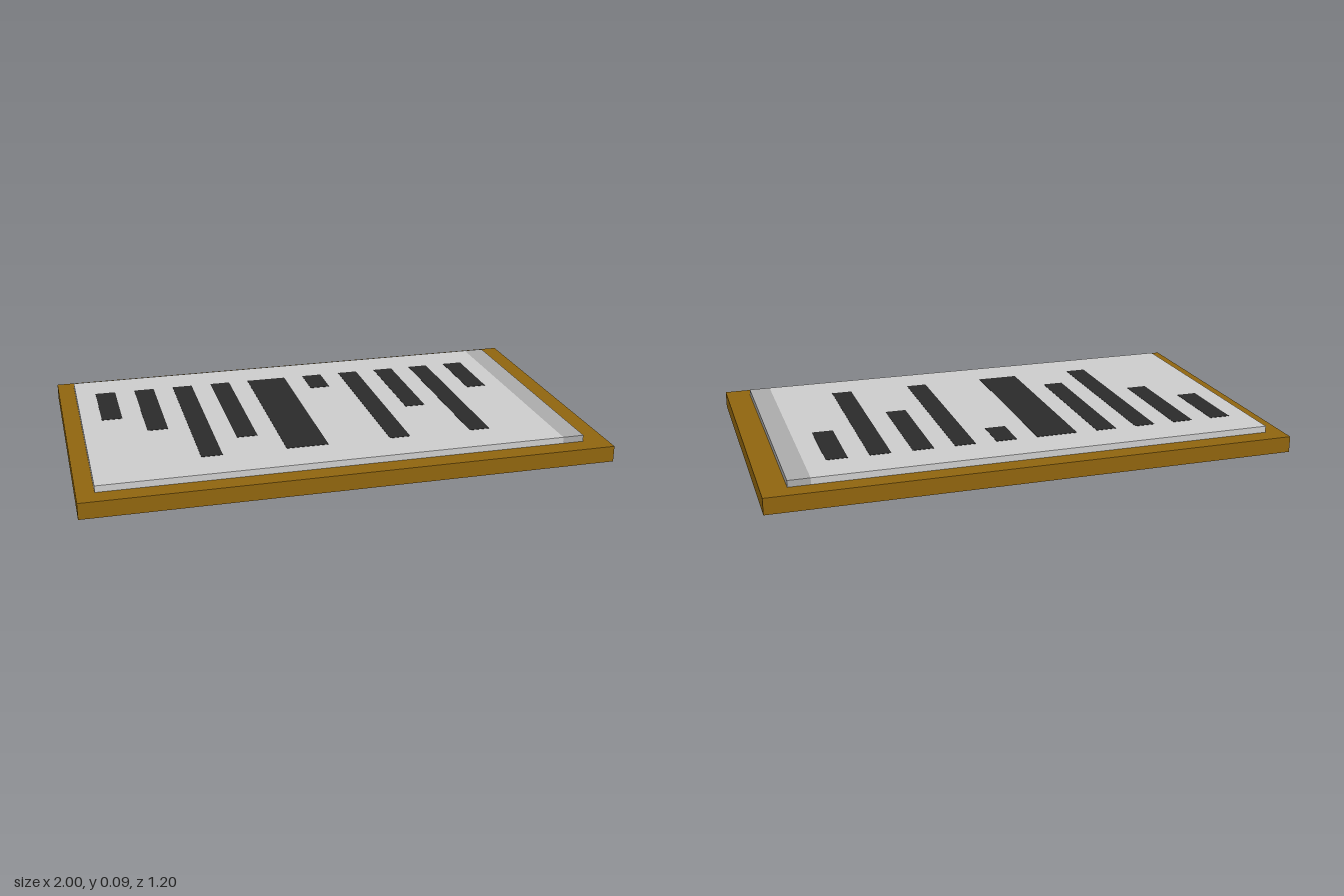
import * as THREE from 'three';

export function createModel() {
  const group = new THREE.Group();
  const material = (color) => new THREE.MeshStandardMaterial({ color });
  const wood = material(0x8f640e);
  const panel = material(0xcccccc);
  const edge = material(0xaaaaaa);
  const dark = material(0x2a2a2a);

  // Box given by its minimum and maximum along each axis
  function box(name, mat, [x0, x1], [y0, y1], [z0, z1]) {
    const mesh = new THREE.Mesh(new THREE.BoxGeometry(x1 - x0, y1 - y0, z1 - z0), mat);
    mesh.position.set((x0 + x1) / 2, (y0 + y1) / 2, (z0 + z1) / 2);
    mesh.name = name;
    group.add(mesh);
  }

  // Wooden backing board
  box('backingBoard', wood, [-1, 1], [0, 0.062], [-0.6, 0.6]);

  // Raised panel with a darker strip along one end
  const panelY = [0.062, 0.087];
  const panelZ = [-0.528, 0.526];
  box('panel', panel, [-0.934, 0.824], panelY, panelZ);
  box('endStrip', edge, [0.824, 0.906], panelY, panelZ);

  // Dark bars, aligned at the back: centre x, length, width
  const bars = [
    [-0.815, 0.3], [-0.655, 0.45], [-0.495, 0.75], [-0.335, 0.6], [-0.135, 0.75, 0.16],
    [0.065, 0.15], [0.225, 0.75], [0.385, 0.45], [0.545, 0.75], [0.705, 0.3],
  ];
  bars.forEach(([x, length, width = 0.08], i) => {
    box(`bar${i + 1}`, dark, [x - width / 2, x + width / 2], [0.086, 0.088], [-0.378, -0.378 + length]);
  });

  return group;
}
